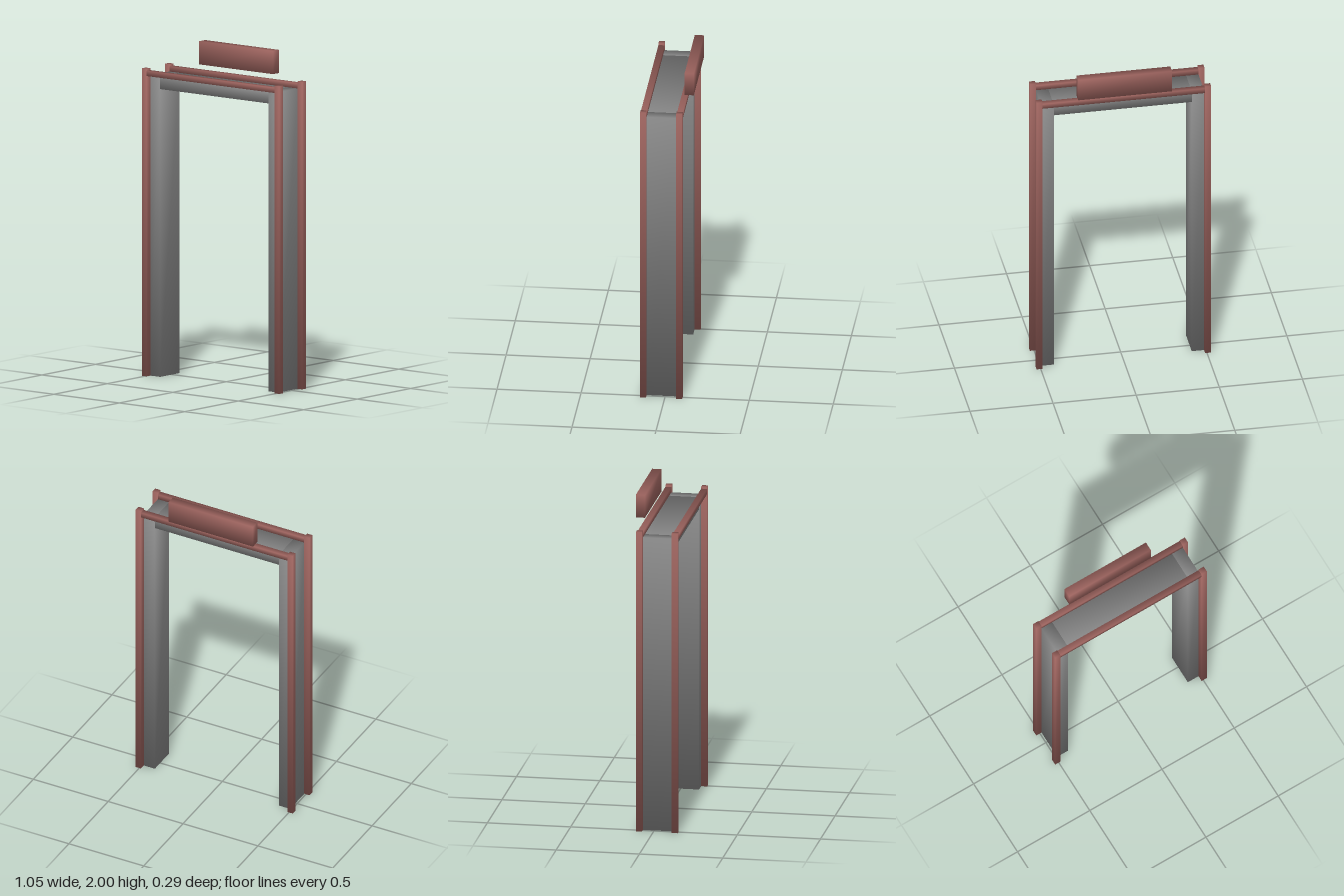
import * as THREE from 'three';

const grey = new THREE.MeshStandardMaterial({ color: 0x888888 });
const red = new THREE.MeshStandardMaterial({ color: 0x9c635e });

// Box given by its extents; every corner normal points diagonally outward,
// so the shading runs smoothly round all its faces
function softBox(name, material, [x0, x1], [y0, y1], [z0, z1]) {
  const geometry = new THREE.BoxGeometry(x1 - x0, y1 - y0, z1 - z0);
  const { position, normal } = geometry.attributes;
  const corner = new THREE.Vector3();
  for (let i = 0; i < position.count; i++) {
    corner.fromBufferAttribute(position, i);
    corner.set(Math.sign(corner.x), Math.sign(corner.y), Math.sign(corner.z)).normalize();
    normal.setXYZ(i, corner.x, corner.y, corner.z);
  }
  const mesh = new THREE.Mesh(geometry, material);
  mesh.name = name;
  mesh.position.set((x0 + x1) / 2, (y0 + y1) / 2, (z0 + z1) / 2);
  return mesh;
}

export function createModel() {
  const model = new THREE.Group();
  model.name = 'walkThroughGate';

  const inner = 0.415, outer = 0.489, edge = 0.525;
  const panelDepth = [-0.068, 0.111];
  const rails = { front: [0.111, 0.147], back: [-0.104, -0.068] };

  // Side panels and the header joining them
  model.add(
    softBox('leftPanel', grey, [inner, outer], [0, 1.8], panelDepth),
    softBox('rightPanel', grey, [-outer, -inner], [0, 1.8], panelDepth),
    softBox('header', grey, [-inner, inner], [1.725, 1.8], panelDepth)
  );

  // Corner posts and top rails, front and back
  for (const [side, depth] of Object.entries(rails)) {
    model.add(
      softBox(side + 'LeftPost', red, [outer, edge], [0, 1.843], depth),
      softBox(side + 'RightPost', red, [-edge, -outer], [0, 1.843], depth),
      softBox(side + 'TopRail', red, [-outer, outer], [1.8, 1.831], depth)
    );
  }

  // Sign board floating above the back rail
  model.add(softBox('signBoard', red, [-0.282, 0.282], [1.861, 2], [-0.147, -0.092]));

  return model;
}
